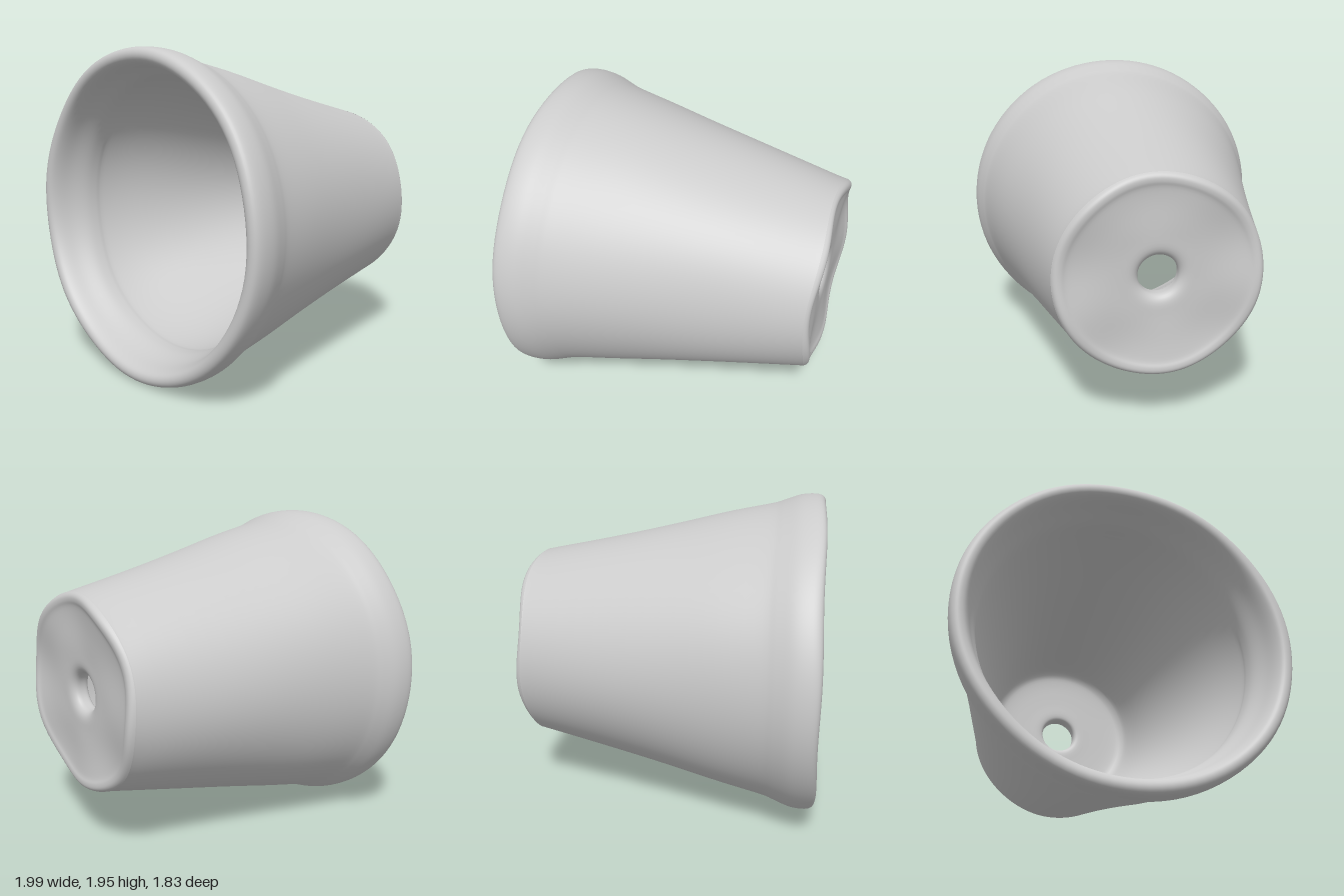
import * as THREE from 'three';
import { mergeVertices } from 'three/addons/utils/BufferGeometryUtils.js';

// Closed wall section: [radius, position along the pot's axis]
const SECTION = [
  [0.115, -0.80], [0.12, -0.84], [0.16, -0.867], [0.25, -0.872], [0.40, -0.876], [0.50, -0.885],
  [0.54, -0.897], [0.57, -0.895], [0.59, -0.872], [0.60, -0.82],              // base
  [0.69, -0.40], [0.78, 0.0], [0.86, 0.33], [0.92, 0.57], [0.95, 0.65],       // outer wall
  [0.985, 0.74], [0.995, 0.82], [0.985, 0.87], [0.955, 0.889], [0.92, 0.88],  // rolled rim
  [0.895, 0.84], [0.87, 0.76], [0.835, 0.67], [0.826, 0.60], [0.826, 0.54],   // inner lip
  [0.79, 0.36], [0.69, 0.0], [0.58, -0.40], [0.51, -0.66], [0.47, -0.73],     // inner wall
  [0.40, -0.75], [0.25, -0.755], [0.15, -0.755], [0.12, -0.77], [0.115, -0.80], // floor and hole
];

export function createModel() {
  const group = new THREE.Group();
  const curve = new THREE.SplineCurve(SECTION.map(([r, h]) => new THREE.Vector2(r, h)));
  let geo = new THREE.LatheGeometry(curve.getPoints(136), 96);
  geo.rotateX(Math.PI / 2);

  // Hand-formed look: slight oval, skewed ends, shallow dents
  const pos = geo.attributes.position;
  for (let i = 0; i < pos.count; i++) {
    let x = pos.getX(i), y = pos.getY(i), z = pos.getZ(i);
    const r = Math.hypot(x, y), a = Math.atan2(y, x);
    const rim = THREE.MathUtils.smoothstep(z, 0.2, 0.85);
    const base = 1 - THREE.MathUtils.smoothstep(z, -0.9, -0.82);
    const wobble = 1 + 0.004 * Math.sin(5 * a + 1) * Math.sin(4 * z);
    x *= wobble;
    y *= wobble * (1 - 0.022 * rim);
    z += -0.018 * y - 0.008 * x;
    z += base * 0.013 * Math.sin(5 * a + 0.6) * THREE.MathUtils.smoothstep(r, 0.2, 0.5);
    z += rim * 0.004 * Math.sin(7 * a);
    pos.setXYZ(i, x, y + 0.965 + 0.012 * z, z);
  }

  // Weld the seam so shading is continuous
  geo.deleteAttribute('uv');
  geo.deleteAttribute('normal');
  geo = mergeVertices(geo, 1e-4);
  geo.computeVertexNormals();

  const pot = new THREE.Mesh(geo, new THREE.MeshStandardMaterial({ color: 0xcccccc }));
  pot.name = 'flowerPot';
  group.add(pot);
  return group;
}
